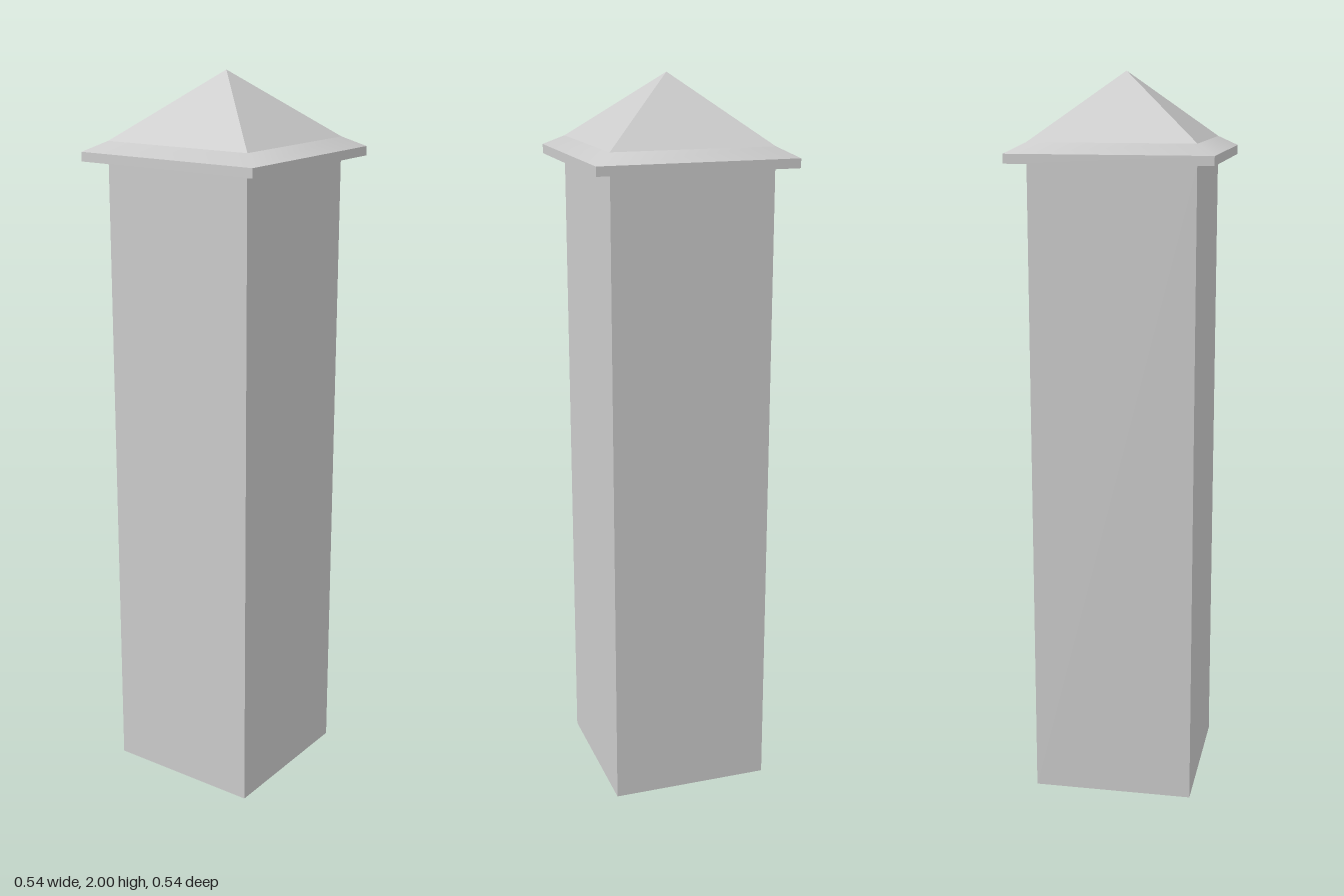
import * as THREE from 'three';

const POST = 0.222, CAP = 0.272;          // half widths
const Y = { slab: 1.77, flare: 1.795, roof: 1.822, apex: 2 };

const flat = new THREE.MeshStandardMaterial({ color: 0xcccccc, flatShading: true });
const smooth = new THREE.MeshStandardMaterial({ color: 0xcccccc });

export function createModel() {
  const group = new THREE.Group();

  const add = (name, geometry, material) => {
    const mesh = new THREE.Mesh(geometry, material);
    mesh.name = name;
    group.add(mesh);
  };

  // Upright square block between two heights
  const block = (half, y0, y1) =>
    new THREE.BoxGeometry(half * 2, y1 - y0, half * 2).translate(0, (y0 + y1) / 2, 0);

  // Four-sided taper between two heights, sides square to the axes
  const taper = (bottom, top, y0, y1) =>
    new THREE.CylinderGeometry(top * Math.SQRT2, bottom * Math.SQRT2, y1 - y0, 4, 1, true)
      .rotateY(Math.PI / 4)
      .translate(0, (y0 + y1) / 2, 0);

  add('post', block(POST, 0, Y.slab), flat);
  add('capSlab', block(CAP, Y.slab, Y.flare), flat);
  // Softly shaded shallow slope around the foot of the roof
  add('capFlare', taper(CAP, POST, Y.flare, Y.roof), smooth);
  // Sharp-edged pyramid
  add('roof', taper(POST, 0, Y.roof, Y.apex), flat);

  return group;
}
